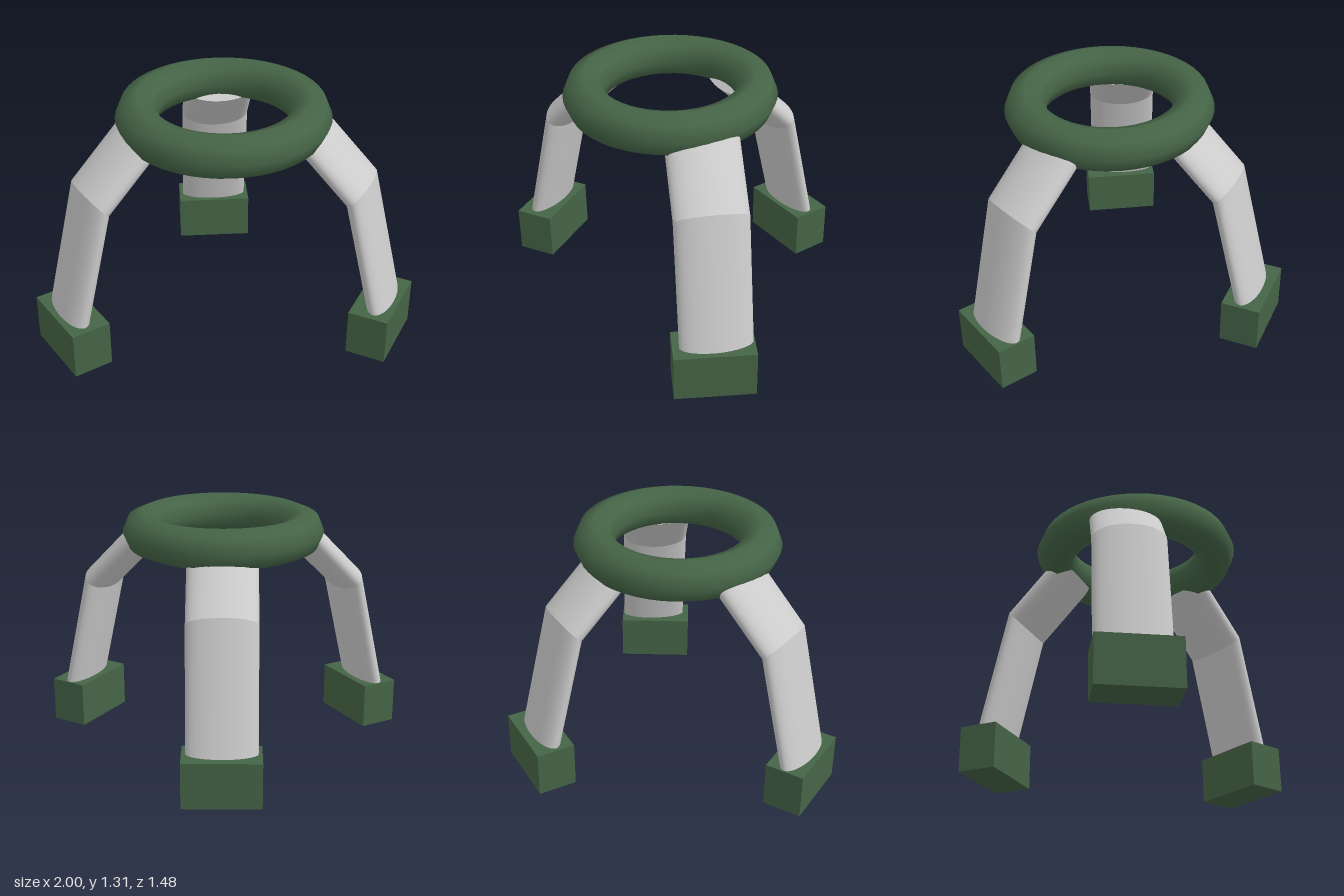
import * as THREE from 'three';
import { mergeVertices, toCreasedNormals } from 'three/addons/utils/BufferGeometryUtils.js';

const green = new THREE.MeshStandardMaterial({ color: 0x456446 });
const grey = new THREE.MeshStandardMaterial({ color: 0xcccccc });
const HALF_WIDTH = 0.185;

// Leg cross-sections in the leg's own plane (outward z, up y):
// centre and half-thickness vector of each flattened oval.
const sections = [
  { z: 0.012, y: 0.2, hz: 0.07, hy: 0 },          // inside the foot
  { z: -0.153, y: 0.878, hz: 0.055, hy: 0.0575 }, // knee
  { z: -0.445, y: 1.168, hz: 0.055, hy: 0.0575 }, // inside the ring
];

// Oval tube between two cross-sections
function ovalSegment(a, b) {
  const geo = new THREE.CylinderGeometry(1, 1, 1, 40);
  const p = geo.attributes.position;
  const mix = THREE.MathUtils.lerp;
  for (let i = 0; i < p.count; i++) {
    const t = p.getY(i) + 0.5, k = p.getZ(i);
    p.setXYZ(
      i,
      p.getX(i) * HALF_WIDTH,
      mix(a.y, b.y, t) + k * mix(a.hy, b.hy, t),
      mix(a.z, b.z, t) + k * mix(a.hz, b.hz, t)
    );
  }
  geo.deleteAttribute('normal');
  geo.deleteAttribute('uv');
  return toCreasedNormals(mergeVertices(geo), 0.7);
}

function addMesh(parent, name, geo, mat) {
  const mesh = new THREE.Mesh(geo, mat);
  mesh.name = name;
  parent.add(mesh);
  return mesh;
}

export function createModel() {
  const model = new THREE.Group();
  model.name = 'threeLeggedStand';

  // Ring on top
  const ring = addMesh(model, 'topRing', new THREE.TorusGeometry(0.435, 0.11, 8, 48), green);
  ring.rotation.x = -Math.PI / 2;
  ring.position.set(0, 1.2, 0.195);

  // Three bent legs, each standing in a block foot
  const lower = ovalSegment(sections[0], sections[1]);
  const upper = ovalSegment(sections[1], sections[2]);
  const block = new THREE.BoxGeometry(0.41, 0.25, 0.21);
  const placements = [
    { name: 'left', leg: [0.817, 0.495, 64], foot: [0.806, 0.505, 60] },
    { name: 'right', leg: [-0.817, 0.495, -64], foot: [-0.806, 0.505, -60] },
    { name: 'back', leg: [0, -0.625, 180], foot: [0, -0.635, 180] },
  ];
  for (const { name, leg, foot } of placements) {
    const group = new THREE.Group();
    group.name = name + 'Leg';
    group.position.set(leg[0], 0, leg[1]);
    group.rotation.y = THREE.MathUtils.degToRad(leg[2]);
    addMesh(group, name + 'LowerLeg', lower, grey);
    addMesh(group, name + 'UpperLeg', upper, grey);
    model.add(group);

    const base = addMesh(model, name + 'Foot', block, green);
    base.position.set(foot[0], 0.125, foot[1]);
    base.rotation.y = THREE.MathUtils.degToRad(foot[2]);
  }
  return model;
}
